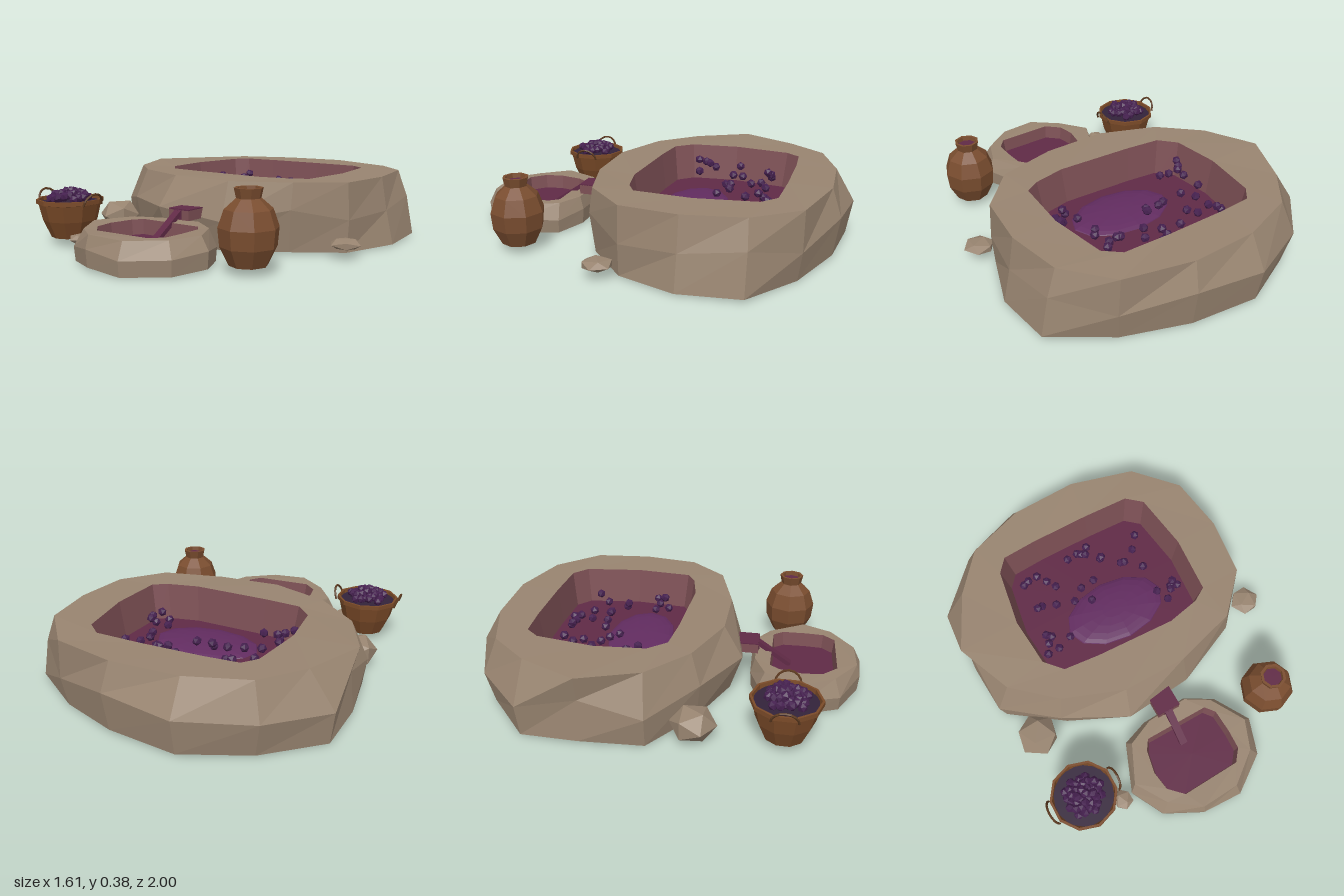
import * as THREE from 'three';
import { mergeGeometries } from 'three/addons/utils/BufferGeometryUtils.js';

const mat = (name, color, side = THREE.FrontSide) => {
  const m = new THREE.MeshStandardMaterial({ color, side });
  m.name = name;
  return m;
};

// Faceted version of any geometry
function flat(geo) {
  const g = geo.index ? geo.toNonIndexed() : geo;
  g.computeVertexNormals();
  return g;
}

// Skin a list of closed loops (each an array of [x, y, z]) with quads
function loft(loops) {
  const v = [];
  for (let k = 0; k < loops.length - 1; k++) {
    const A = loops[k], B = loops[k + 1], n = A.length;
    for (let i = 0; i < n; i++) {
      const j = (i + 1) % n;
      v.push(...A[i], ...A[j], ...B[j], ...A[i], ...B[j], ...B[i]);
    }
  }
  const g = new THREE.BufferGeometry();
  g.setAttribute('position', new THREE.Float32BufferAttribute(v, 3));
  g.computeVertexNormals();
  return g;
}

// Lift a flat [x, z] outline to height y, scaled about (0, cz), with a little height variation
const lift = (pts, y, s = 1, cz = 0, wobble = 0) =>
  pts.map(([x, z], i) => [x * s, y + wobble * Math.sin(i * 2.4), cz + (z - cz) * s]);

export function createModel() {
  const model = new THREE.Group();
  const stone = mat('stone', 0x988470, THREE.DoubleSide);
  const stained = mat('stained stone', 0x7d5055, THREE.DoubleSide);
  const wine = mat('wine', 0x602a46, THREE.DoubleSide);
  const mash = mat('grape mash', 0x622c60);
  const grape = mat('grape', 0x45204f);
  const clay = mat('clay', 0x7a4d2f, THREE.DoubleSide);
  const wicker = mat('wicker', 0x7a4a28, THREE.DoubleSide);
  const shade = mat('basket filling', 0x33233a);
  const handleMat = mat('handle wicker', 0x5c3a20);

  const add = (name, geo, material, x = 0, y = 0, z = 0) => {
    const m = new THREE.Mesh(geo, material);
    m.name = name;
    m.position.set(x, y, z);
    model.add(m);
    return m;
  };

  // Stone basin: open-bottomed stone shell around a stained tub holding wine
  function basin(name, o) {
    const { inner, top, mid, bottom, cz, h, level, wobble } = o;
    const rim = lift(inner, h, 1, cz);
    const centre = (y) => inner.map(() => [0, y, cz]);
    add(name + 'Stone', loft([
      rim, lift(top, h, 1, cz, 0.004), lift(mid, h * 0.53, 1, cz, wobble), lift(bottom, 0.008, 1, cz, 0.008),
    ]), stone);
    add(name + 'Tub', loft([centre(level - 0.055), lift(inner, level - 0.055, 0.92, cz), rim]), stained);
    add(name + 'Wine', loft([centre(level), lift(inner, level, 0.95, cz)]), wine);
  }

  basin('treadingVat', {
    cz: -0.31, h: 0.355, level: 0.16, wobble: 0.04,
    inner: [[-0.2, -0.69], [0.12, -0.69], [0.37, -0.68], [0.45, -0.61], [0.49, -0.3], [0.465, 0], [0.39, 0.045],
      [0.22, 0.08], [-0.2, 0.06], [-0.39, 0.04], [-0.47, -0.05], [-0.49, -0.31], [-0.44, -0.61], [-0.38, -0.68]],
    top: [[-0.2, -0.9], [0.15, -0.91], [0.49, -0.82], [0.68, -0.6], [0.72, -0.3], [0.68, 0], [0.49, 0.2],
      [0.17, 0.29], [-0.17, 0.29], [-0.48, 0.17], [-0.69, -0.02], [-0.81, -0.31], [-0.67, -0.6], [-0.5, -0.8]],
    mid: [[-0.2, -1], [0.17, -0.96], [0.5, -0.82], [0.73, -0.61], [0.75, -0.3], [0.69, 0], [0.49, 0.22],
      [0.17, 0.35], [-0.2, 0.39], [-0.52, 0.22], [-0.78, 0], [-0.78, -0.31], [-0.8, -0.61], [-0.55, -0.86]],
    bottom: [[-0.2, -0.97], [0.16, -0.93], [0.48, -0.8], [0.77, -0.61], [0.79, -0.3], [0.68, 0], [0.47, 0.2],
      [0.17, 0.31], [-0.18, 0.33], [-0.49, 0.2], [-0.76, 0], [-0.8, -0.31], [-0.78, -0.6], [-0.52, -0.83]],
  });

  const smallBase = [[-0.14, 0.43], [0.11, 0.42], [0.26, 0.5], [0.36, 0.69], [0.3, 0.87],
    [0.11, 1], [-0.1, 0.99], [-0.29, 0.89], [-0.38, 0.72], [-0.28, 0.48]];
  basin('collectingBasin', {
    cz: 0.7, h: 0.16, level: 0.085, wobble: 0.015,
    inner: [[-0.18, 0.53], [0.17, 0.53], [0.21, 0.58], [0.215, 0.7], [0.21, 0.8],
      [0.16, 0.86], [-0.15, 0.87], [-0.22, 0.8], [-0.235, 0.7], [-0.21, 0.58]],
    top: [[-0.12, 0.45], [0.1, 0.44], [0.22, 0.51], [0.32, 0.69], [0.26, 0.84],
      [0.1, 0.96], [-0.1, 0.97], [-0.25, 0.86], [-0.35, 0.7], [-0.26, 0.51]],
    mid: smallBase,
    bottom: smallBase.map(([x, z]) => [x * 0.98, 0.7 + (z - 0.7) * 0.98]),
  });

  // Spout through the vat wall, with wine running down into the small basin
  add('spout', new THREE.BoxGeometry(0.125, 0.05, 0.21), stained, -0.008, 0.188, 0.355);
  add('spoutWine', new THREE.BoxGeometry(0.125, 0.006, 0.14), wine, -0.008, 0.215, 0.39);
  const stream = add('wineStream', new THREE.BoxGeometry(0.04, 0.022, 0.215), wine, -0.012, 0.147, 0.54);
  stream.rotation.x = Math.atan2(0.12, 0.18);
  add('spoutMouth', new THREE.BoxGeometry(0.045, 0.045, 0.006), wine, -0.012, 0.189, 0.461);

  // Low mound of crushed grapes in the vat
  const mound = add('grapeMash', flat(new THREE.SphereGeometry(1, 12, 6, 0, Math.PI * 2, 0, Math.PI / 2)), mash, 0.03, 0.155, -0.19);
  mound.scale.set(0.29, 0.035, 0.18);

  // Loose grapes heaped in the vat, as [x, z]
  const berry = flat(new THREE.IcosahedronGeometry(0.025, 0));
  const bunch = (spots) => mergeGeometries(spots.map(([x, y, z], i) =>
    berry.clone().rotateY(i * 1.3).rotateX(i * 0.7).translate(x, y, z)));
  const floating = [[-0.35, -0.54], [-0.32, -0.54], [-0.27, -0.53], [-0.23, -0.5], [-0.2, -0.45], [-0.35, -0.36],
    [-0.32, -0.38], [-0.25, -0.34], [-0.07, -0.55], [0, -0.58], [0.06, -0.58], [0.03, -0.53], [0.1, -0.49],
    [0.015, -0.555], [-0.085, -0.36], [-0.06, -0.29], [-0.15, -0.32], [-0.005, -0.37], [0.19, -0.41], [0.28, -0.44],
    [0.33, -0.5], [0.29, -0.33], [-0.38, -0.21], [-0.39, -0.15], [-0.35, -0.12], [-0.27, -0.14], [-0.42, -0.1],
    [0.28, -0.16], [0.38, -0.165], [0.34, -0.115], [0.31, -0.09], [0.39, -0.13], [0.1, -0.475], [0.21, -0.405],
    [0.28, -0.32], [-0.36, -0.18], [0.36, -0.15]];
  add('floatingGrapes', bunch(floating.map(([x, z], i) => [x, (x < -0.2 ? 0.23 : 0.205) + 0.025 * (i % 3), z])), grape);

  // Basket with filling, grapes and a handle on each side
  const bx = -0.605, bz = 0.63;
  const lathe = (pts, n) => flat(new THREE.LatheGeometry(pts.map((p) => new THREE.Vector2(...p)), n));
  add('basket', lathe([[0, 0.04], [0.1, 0.04], [0.14, 0.13], [0.16, 0.215], [0.172, 0.218], [0.172, 0.24], [0.16, 0.24], [0.155, 0.2]], 10), wicker, bx, 0, bz);
  add('basketFilling', new THREE.CircleGeometry(0.157, 10).rotateX(-Math.PI / 2), shade, bx, 0.222, bz);
  const heap = [];
  for (let i = 0; i < 36; i++) {
    const r = 0.098 * Math.sqrt((i + 0.5) / 36), a = i * 2.4;
    heap.push([r * Math.cos(a), 0.282 - r * 0.3 - 0.014 * (i % 2), r * Math.sin(a)]);
  }
  add('basketGrapes', bunch(heap), grape, bx, 0, bz);
  for (const s of [-1, 1]) {
    const arch = new THREE.TorusGeometry(0.062, 0.006, 5, 8, Math.PI).rotateY(Math.PI / 2);
    const handle = add('basketHandle', flat(arch), handleMat, bx + s * 0.168, 0.217, bz);
    handle.rotation.z = -s * 0.35;
  }

  // Clay jar with wine in its neck
  add('jar', lathe([[0, 0.04], [0.088, 0.04], [0.13, 0.125], [0.138, 0.21], [0.11, 0.29],
    [0.056, 0.338], [0.066, 0.383], [0.052, 0.383], [0.047, 0.355]], 8), clay, 0.51, 0, 0.6);
  add('jarWine', new THREE.CircleGeometry(0.05, 8).rotateX(-Math.PI / 2), wine, 0.51, 0.362, 0.6);

  // Loose rocks: x, y, z, radius, flatness, turn
  const rocks = [[-0.665, 0.09, 0.21, 0.115, 0.75, 1], [0.72, 0.07, 0.09, 0.083, 0.36, 0.5], [-0.435, 0.06, 0.725, 0.055, 0.5, 2]];
  for (const [x, y, z, r, f, turn] of rocks) {
    const rock = add('rock', new THREE.IcosahedronGeometry(r, 0), stone, x, y, z);
    rock.scale.y = f;
    rock.rotation.y = turn;
  }
  return model;
}
